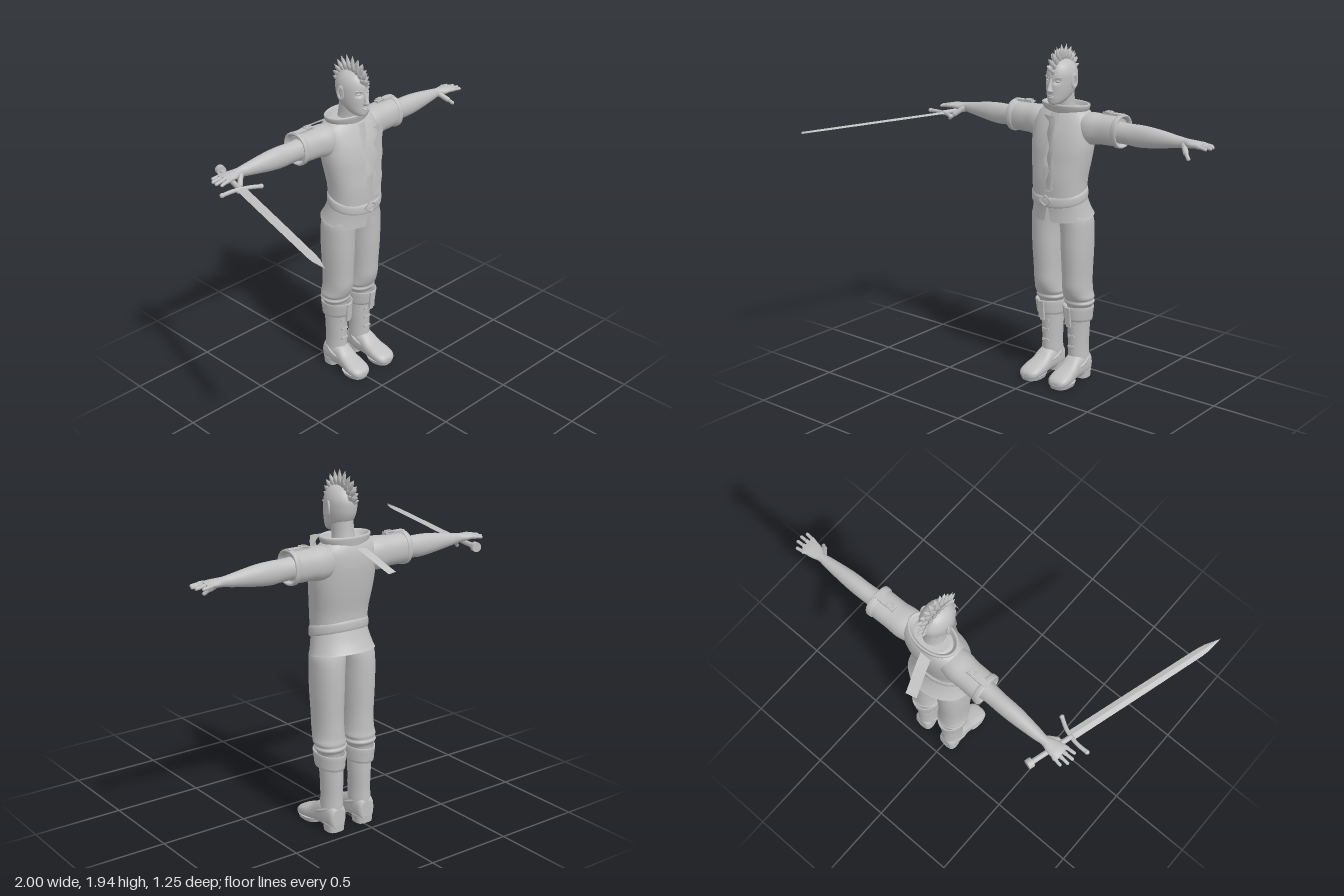
import * as THREE from 'three';

const V = (x, y, z) => new THREE.Vector3(x, y, z);
const MID = 0.078; // the body stands a little to its left because of the sword

// Skin a list of rings of points; caps get their own vertices so rims stay sharp.
function skin(rings, closed = true, caps = true) {
  const pos = [], n = rings[0].length;
  let idx = [];
  rings.forEach(r => r.forEach(p => pos.push(p.x, p.y, p.z)));
  for (let i = 0; i < rings.length - 1; i++) {
    for (let j = 0; j < (closed ? n : n - 1); j++) {
      const a = i * n + j, b = i * n + (j + 1) % n;
      idx.push(a, a + n, b, b, a + n, b + n);
    }
  }
  if (closed && caps) [rings[0], rings[rings.length - 1]].forEach((r, end) => {
    const base = pos.length / 3;
    const c = r.reduce((s, p) => s.add(p), V(0, 0, 0)).divideScalar(n);
    [...r, c].forEach(p => pos.push(p.x, p.y, p.z));
    for (let j = 0; j < n; j++) {
      const a = base + j, b = base + (j + 1) % n;
      idx.push(...(end ? [b, a, base + n] : [a, b, base + n]));
    }
  });
  // Turn the faces outward if the signed volume is negative.
  const at = i => V(pos[3 * i], pos[3 * i + 1], pos[3 * i + 2]);
  let vol = 0;
  for (let i = 0; i < idx.length; i += 3) vol += at(idx[i]).dot(at(idx[i + 1]).cross(at(idx[i + 2])));
  if (vol < 0) idx = idx.reverse();
  const g = new THREE.BufferGeometry();
  g.setAttribute('position', new THREE.Float32BufferAttribute(pos, 3));
  g.setIndex(idx);
  g.computeVertexNormals();
  return g;
}

// Resample sections along a Catmull-Rom curve.
function resample(s, k) {
  const out = [];
  for (let i = 0; i < s.length - 1; i++) {
    const [a, b, c, d] = [s[Math.max(i - 1, 0)], s[i], s[i + 1], s[Math.min(i + 2, s.length - 1)]];
    for (let j = 0; j < k; j++) {
      const t = j / k;
      out.push(b.map((_, m) => b[m] + 0.5 * t * (c[m] - a[m] + t * (2 * a[m] - 5 * b[m] + 4 * c[m] - d[m]
        + t * (3 * (b[m] - c[m]) + d[m] - a[m])))));
    }
  }
  out.push(s[s.length - 1]);
  return out;
}

// Sections are [position on axis, centre 1, centre 2, radius 1, radius 2].
function loft(axis, sections, { k = 4, seg = 28, p = 2, caps = true } = {}) {
  const se = v => Math.sign(v) * Math.abs(v) ** (2 / p);
  return skin(resample(sections, k).map(([t, c1, c2, r1, r2]) => Array.from({ length: seg }, (_, j) => {
    const a = j / seg * Math.PI * 2, u = c1 + r1 * se(Math.cos(a)), v = c2 + r2 * se(Math.sin(a));
    return axis === 'y' ? V(u, t, v) : axis === 'x' ? V(t, u, v) : V(u, v, t);
  })), true, caps);
}

function warp(g, fn) {
  const p = g.attributes.position, v = V(0, 0, 0);
  for (let i = 0; i < p.count; i++) {
    fn(v.fromBufferAttribute(p, i));
    p.setXYZ(i, v.x, v.y, v.z);
  }
  g.computeVertexNormals();
  return g;
}

export function createModel() {
  const grey = new THREE.MeshStandardMaterial({ color: 0xbfbfbf, side: THREE.DoubleSide });
  grey.name = 'plain grey';
  const model = new THREE.Group(), body = new THREE.Group();
  model.name = 'swordsman';
  body.name = 'body';
  body.position.x = MID;
  model.add(body);

  const add = (name, g, x = 0, y = 0, z = 0, parent = body) => {
    const m = new THREE.Mesh(g, grey);
    m.name = name;
    m.position.set(x, y, z);
    parent.add(m);
    return m;
  };
  const ball = (name, x, y, z, rx, ry, rz) => add(name, new THREE.SphereGeometry(1, 18, 12), x, y, z).scale.set(rx, ry, rz);
  const box = (name, x, y, z, w, h, d) => add(name, new THREE.BoxGeometry(w, h, d), x, y, z);
  const rod = (name, a, b, r, parent = body) => {
    const d = b.clone().sub(a), c = a.clone().add(b).multiplyScalar(0.5);
    const m = add(name, new THREE.CapsuleGeometry(r, d.length(), 5, 10), c.x, c.y, c.z, parent);
    m.quaternion.setFromUnitVectors(V(0, 1, 0), d.normalize());
    return m;
  };

  // Jacket
  add('jacketTorso', loft('y', [[1.09, 0, -.297, .157, .12], [1.2, 0, -.297, .162, .122], [1.3, 0, -.31, .176, .125],
    [1.38, 0, -.32, .186, .126], [1.46, 0, -.333, .186, .12], [1.53, 0, -.345, .18, .103], [1.575, 0, -.35, .145, .083],
    [1.59, 0, -.35, .1, .065]], { seg: 40, p: 2.3 }));
  add('collar', loft('y', [[1.555, 0, -.35, .118, .085], [1.585, 0, -.347, .142, .092], [1.61, 0, -.345, .15, .096],
    [1.613, 0, -.345, .138, .086], [1.59, 0, -.345, .122, .076], [1.565, 0, -.345, .1, .065]], { caps: false, seg: 36 }));
  const skirt = [[1.12, -.297, .157, .123, .01], [1.05, -.312, .17, .131, .05], [1.0, -.325, .182, .143, .11], [.985, -.33, .188, .148, .14]];
  add('jacketSkirt', skin(resample(skirt, 3).map(([y, cz, rx, rz, gap]) => Array.from({ length: 41 }, (_, j) => {
    const a = gap + j / 40 * (2 * Math.PI - 2 * gap), z = cz + rz * Math.cos(a);
    return V(rx * Math.sin(a), y - (z + .33) * .14, z);
  })), false));
  add('belt', warp(loft('y', [[1.083, 0, -.297, .16, .121], [1.086, 0, -.297, .169, .129], [1.11, 0, -.297, .171, .131],
    [1.136, 0, -.297, .168, .128], [1.14, 0, -.297, .158, .119]], { k: 2, seg: 40 }), v => { v.y -= (v.z + .3) * .26; }));
  const buckle = add('beltBuckle', new THREE.TorusGeometry(.036, .009, 6, 4), 0, 1.088, -.163);
  buckle.scale.set(1.2, .8, .8);

  // Front placket, loose front flap and loose back strap
  const ribbon = (name, n, fn) => add(name, skin(Array.from({ length: n }, (_, i) => fn(i / (n - 1))), false));
  ribbon('placket', 40, t => {
    const y = 1.57 - .43 * t, z = -.245 + .066 * Math.min(1, t * 1.5), w = .004 * Math.sin(t * 40);
    return [V(-.022 + w, y, z + .008), V(-.002, y, z + .01), V(.03, y, z)];
  });
  ribbon('frontFlap', 44, t => {
    const y = 1.575 - .415 * t, w = .011 * Math.sin(t * 19), e = t < .08 ? -.03 * (1 - t / .08) : 0;
    return [V(.026 + w + e - .025 * Math.max(0, t - .75) * 4 * .6, y, -.15 + w * .5), V(.05, y, -.138), V(.073 + w * .3 - .012 * t, y, -.146)];
  });
  const strapPath = new THREE.CatmullRomCurve3([V(-.03, 1.556, -.43), V(-.05, 1.52, -.5), V(-.075, 1.475, -.575), V(-.09, 1.45, -.622)]);
  ribbon('backStrap', 12, t => {
    const c = strapPath.getPoint(t);
    return [c.clone().add(V(-.03, 0, .008)), c.clone().add(V(.03, 0, -.008))];
  });

  // Head with brow, nose, mouth
  add('neck', loft('y', [[1.55, 0, -.345, .07, .066], [1.6, 0, -.333, .058, .062], [1.66, 0, -.322, .056, .066], [1.7, 0, -.32, .055, .066]]));
  add('head', warp(loft('y', [[1.617, 0, -.243, .016, .022], [1.624, 0, -.25, .034, .043], [1.645, 0, -.27, .052, .067], [1.675, 0, -.29, .065, .088],
    [1.71, 0, -.3, .073, .099], [1.745, 0, -.305, .077, .102], [1.785, 0, -.307, .077, .1], [1.82, 0, -.306, .066, .086],
    [1.845, 0, -.305, .046, .062], [1.858, 0, -.305, .02, .028], [1.861, 0, -.305, .004, .006]], { seg: 48, k: 5 }), v => {
    // eye sockets
    const d = Math.hypot((Math.abs(v.x) - .032) / .022, (v.y - 1.747) / .016);
    if (v.z > -.27 && d < 1) v.z -= .012 * (1 - d * d);
  }));
  add('nose', loft('y', [[1.762, 0, -.207, .007, .007], [1.73, 0, -.202, .009, .013], [1.705, 0, -.198, .013, .02],
    [1.694, 0, -.199, .017, .021], [1.684, 0, -.205, .012, .012]], { seg: 16 }));
  ball('upperLip', 0, 1.666, -.208, .022, .005, .011);
  ball('lowerLip', 0, 1.657, -.208, .018, .006, .011);
  for (const s of [1, -1]) {
    ball('eye', s * .032, 1.747, -.224, .014, .008, .01);
    rod('eyebrow', V(s * .016, 1.764, -.208), V(s * .05, 1.769, -.226), .004);
    const ear = add('ear', new THREE.TorusGeometry(.018, .008, 8, 18), s * .08, 1.745, -.31);
    ear.rotation.y = Math.PI / 2 - s * .35;
    ear.scale.set(.9, 1.7, .8);
    ball('earLobe', s * .077, 1.74, -.308, .006, .03, .015);
  }

  // Spiky crest: leaf-shaped tufts fanned over the skull
  const leaf = new THREE.LatheGeometry([[.003, 0], [.013, .2], [.018, .42], [.012, .72], [.0005, 1]].map(a => new THREE.Vector2(...a)), 8);
  for (let i = 0; i < 10; i++) for (const s of [-1, 0, 1]) {
    const a = THREE.MathUtils.degToRad(62 - i * 14.5 + s * 5);
    const reach = .052 + .04 * Math.cos(a + .15) - Math.abs(s) * .022;
    const m = add('crestSpike', leaf, s * .008, 1.755 + .092 * Math.cos(a), -.305 + .088 * Math.sin(a));
    m.quaternion.setFromUnitVectors(V(0, 1, 0), V(s * .3, Math.cos(a), Math.sin(a * 1.05 - .08)).normalize());
    m.scale.set(.55, reach, .9);
  }

  for (const s of [1, -1]) {
    // Sleeves and shoulder tabs
    const mirror = a => a.map(([x, ...r]) => [s * x, ...r]);
    add('sleeve', loft('x', mirror([[.08, 1.49, -.35, .07, .07], [.17, 1.487, -.355, .088, .085], [.24, 1.49, -.36, .082, .08],
      [.31, 1.492, -.362, .083, .08], [.34, 1.493, -.363, .083, .08], [.345, 1.494, -.363, .09, .085], [.37, 1.494, -.363, .091, .086],
      [.372, 1.494, -.363, .08, .076], [.35, 1.492, -.363, .07, .066]]), { p: 2.3, k: 3 }));
    box('shoulderTab', s * .306, 1.582, -.365, .128, .012, .034);
    const loop = add('shoulderTabLoop', new THREE.TorusGeometry(.022, .005, 6, 4), s * .275, 1.59, -.365);
    loop.rotation.set(Math.PI / 2, 0, Math.PI / 4);

    // Arm and hand
    add('arm', loft('x', mirror([[.3, 1.49, -.36, .06, .055], [.4, 1.486, -.362, .058, .048], [.47, 1.484, -.365, .061, .046],
      [.54, 1.485, -.366, .057, .045], [.61, 1.486, -.368, .048, .04], [.7, 1.486, -.371, .034, .031], [.75, 1.487, -.372, .026, .025],
      [.79, 1.487, -.37, .022, .039], [.83, 1.488, -.37, .018, .045], [.86, 1.487, -.37, .012, .042]])));
    [[-.407, .885], [-.383, .908], [-.358, .912], [-.334, .9]].forEach(([z, tip], i) => {
      const spread = (i - 1.5) * .003;
      rod('finger', V(s * .835, 1.488, z), V(s * (tip - .04), 1.487, z + spread), .0115);
      rod('fingertip', V(s * (tip - .04), 1.487, z + spread), V(s * tip, 1.481, z + spread * 2), .009);
    });
    rod('thumbBase', V(s * .755, 1.48, -.352), V(s * .79, 1.447, -.318), .015);
    rod('thumb', V(s * .79, 1.447, -.318), V(s * .815, 1.423, -.302), .0105);

    // Trousers, gathered below the knee
    add('trouserLeg', loft('y', [[1.04, s * .08, -.315, .075, .095], [.98, s * .093, -.325, .09, .103], [.9, s * .1, -.33, .087, .105],
      [.78, s * .101, -.332, .084, .103], [.65, s * .1, -.335, .079, .096], [.58, s * .099, -.338, .079, .095], [.535, s * .099, -.345, .082, .09],
      [.505, s * .1, -.354, .087, .085], [.488, s * .1, -.358, .079, .079], [.472, s * .1, -.36, .086, .083], [.45, s * .1, -.36, .07, .07],
      [.42, s * .1, -.36, .06, .065]], { p: 2.2 }));

    // Boot with turned-down cuff
    add('bootCuff', warp(loft('y', [[.37, s * .097, -.358, .062, .075], [.365, s * .097, -.355, .075, .091], [.4, s * .097, -.353, .079, .096],
      [.445, s * .098, -.352, .083, .102], [.448, s * .098, -.352, .076, .094], [.42, s * .098, -.354, .06, .07]], { k: 2, caps: false }),
      v => { v.y += (v.z + .35) * .1; }));
    box('cuffTab', s * .094, .405, -.256, .036, .105, .014).rotation.x = .08;
    box('cuffTabEnd', s * .094, .352, -.266, .028, .03, .012);
    add('bootShaft', loft('y', [[.06, s * .096, -.375, .056, .062], [.13, s * .094, -.368, .058, .07], [.2, s * .093, -.366, .056, .069],
      [.3, s * .093, -.365, .06, .071], [.4, s * .095, -.36, .064, .075]]));
    for (const y of [.33, .27, .205]) box('bootLace', s * .093, y, -.298, .045, .012, .014);
    add('bootFoot', loft('z', [[-.438, s * .096, .075, .04, .055], [-.42, s * .096, .085, .053, .07], [-.36, s * .096, .09, .058, .078],
      [-.3, s * .097, .082, .057, .068], [-.25, s * .099, .062, .061, .05], [-.2, s * .102, .05, .066, .04], [-.155, s * .103, .041, .062, .031],
      [-.13, s * .103, .034, .046, .023], [-.121, s * .103, .03, .025, .012]], { p: 2.5 }));
    const band = add('instepBand', new THREE.TorusGeometry(.062, .008, 8, 28), s * .096, .108, -.345);
    band.rotation.x = Math.PI / 2 + .45;
    band.scale.set(.98, 1.3, 1);
    add('sole', loft('y', [[.002, s * .103, -.2, .058, .075], [.026, s * .103, -.2, .067, .082]], { k: 1, p: 2.4 }));
    add('heel', loft('y', [[0, s * .096, -.392, .05, .045], [.045, s * .096, -.39, .054, .05]], { k: 1, p: 3 }));
  }

  // Sword in the right hand; its local +z runs along the blade
  const sword = new THREE.Group();
  sword.name = 'sword';
  sword.position.set(-.757, 1.457, -.257);
  sword.rotation.y = -.276;
  model.add(sword);
  add('blade', skin([[0, .027], [.4, .026], [.78, .024], [.83, .02], [.915, .0008]].map(([z, w]) =>
    [V(w, 0, z), V(0, .006, z), V(-w, 0, z), V(0, -.006, z)])).toNonIndexed(), .005, 0, 0, sword).geometry.computeVertexNormals();
  const guardPath = new THREE.CatmullRomCurve3([V(-.108, 0, .012), V(-.05, 0, -.004), V(0, 0, -.008), V(.05, 0, -.004), V(.108, 0, .012)]);
  add('guard', new THREE.TubeGeometry(guardPath, 20, .011, 10), 0, 0, 0, sword);
  for (const s of [1, -1]) add('guardEnd', new THREE.SphereGeometry(.013, 12, 8), s * .108, 0, .012, sword);
  rod('grip', V(0, 0, -.01), V(0, .002, -.23), .014, sword);
  const pommel = add('pommel', new THREE.CylinderGeometry(.026, .026, .03, 20), 0, .004, -.255, sword);
  pommel.rotation.x = Math.PI / 2;

  return model;
}
